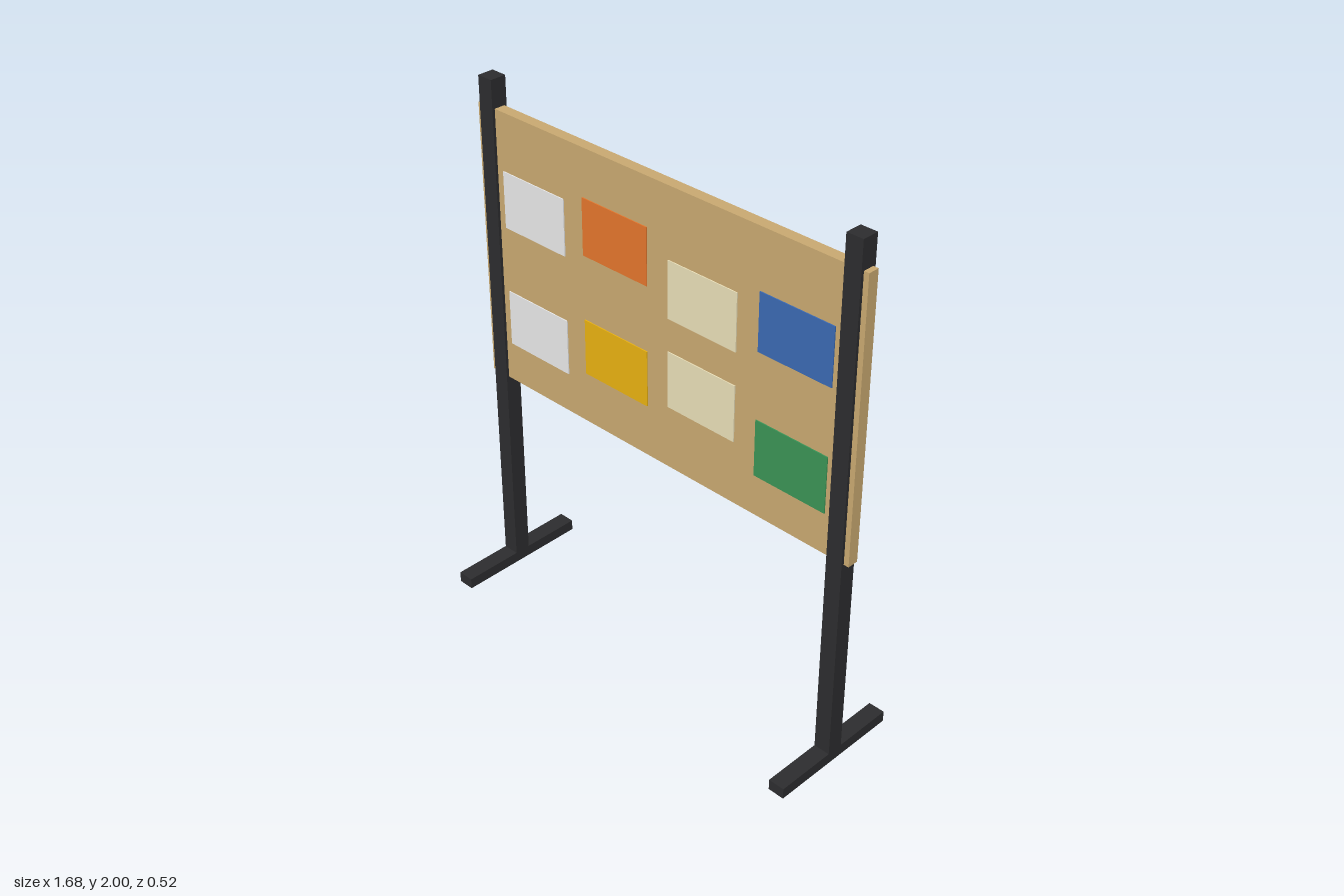
import * as THREE from 'three';

const paint = (name, color) => {
  const m = new THREE.MeshStandardMaterial({ color });
  m.name = name;
  return m;
};

export function createModel() {
  const model = new THREE.Group();
  model.name = 'pinboardStand';

  const metal = paint('blackMetal', 0x2c2c2e);
  const cork = paint('cork', 0xc8a870);
  const white = paint('whitePaper', 0xececec);
  const cream = paint('creamPaper', 0xf9eec4);
  const orange = paint('orangePaper', 0xe2752c);
  const yellow = paint('yellowPaper', 0xf0b712);
  const blue = paint('bluePaper', 0x3a69b2);
  const green = paint('greenPaper', 0x3a9355);

  const box = (name, material, size, position) => {
    const mesh = new THREE.Mesh(new THREE.BoxGeometry(...size), material);
    mesh.name = name;
    mesh.position.set(...position);
    model.add(mesh);
  };

  // Board, its ends poking out past the posts
  const thickness = 0.042;
  box('board', cork, [1.68, 1.05, thickness], [0, 1.37, 0]);

  // Posts and feet, mirrored left and right
  for (const [side, s] of [['left', 1], ['right', -1]]) {
    box(`${side}Post`, metal, [0.063, 2, 0.063], [s * 0.789, 1, 0]);
    box(`${side}Foot`, metal, [0.063, 0.042, 0.525], [s * 0.789, 0.021, 0]);
  }

  // Pinned sheets: colour, x, y
  const sheets = [
    [white, -0.579, 1.571], [orange, -0.193, 1.61], [cream, 0.198, 1.529], [blue, 0.585, 1.571],
    [white, -0.579, 1.107], [yellow, -0.193, 1.15], [cream, 0.198, 1.192], [green, 0.585, 1.107],
  ];
  sheets.forEach(([material, x, y], i) =>
    box(`sheet${i + 1}`, material, [0.296, 0.213, 0.004], [x, y, thickness / 2 + 0.002]));

  return model;
}
